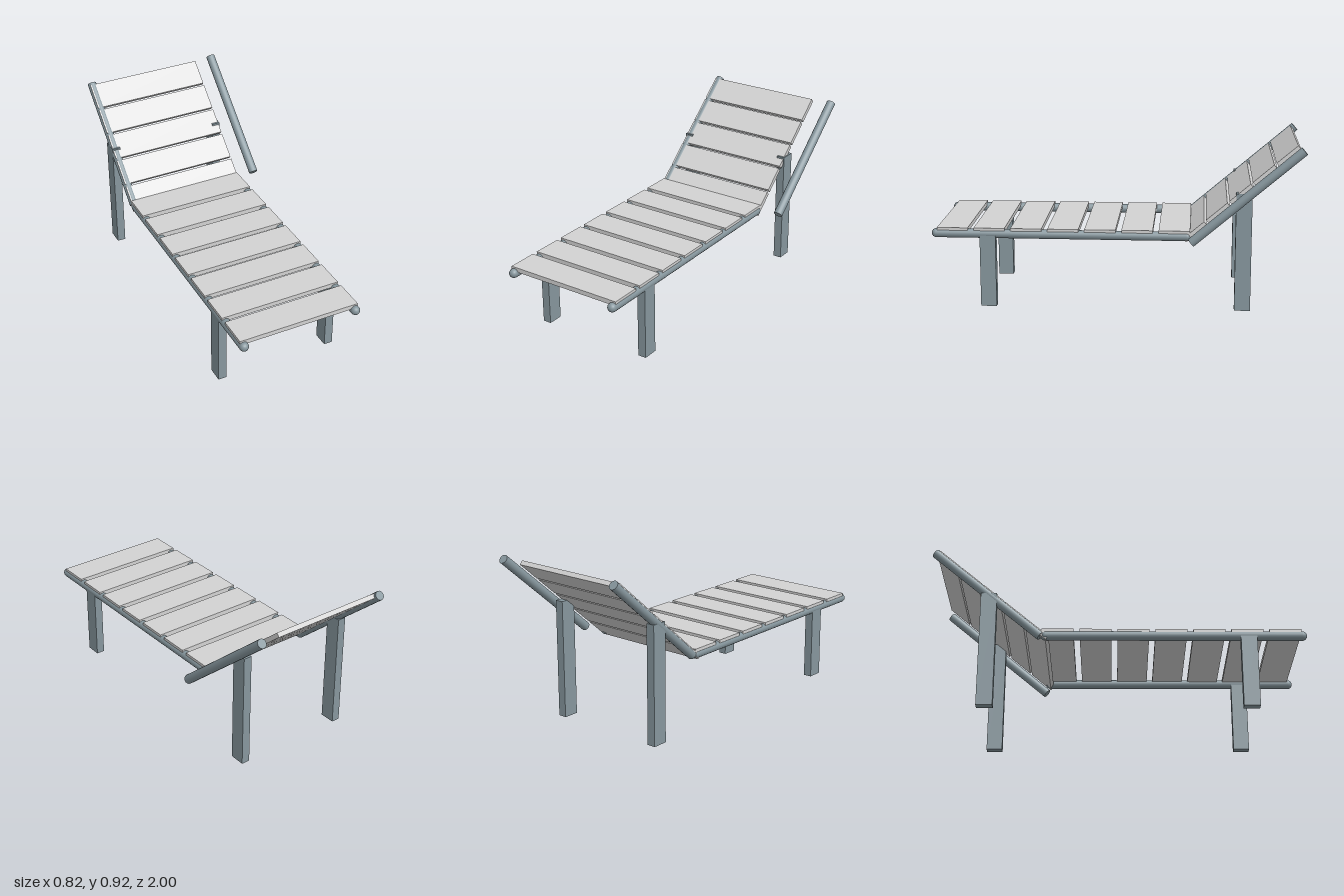
import * as THREE from 'three';

export function createModel() {
  const model = new THREE.Group();
  model.name = 'sunLounger';
  const frame = new THREE.MeshStandardMaterial({ color: 0x87979e });
  frame.name = 'blueGreyFrame';
  const slat = new THREE.MeshStandardMaterial({ color: 0xd3d3d3 });
  slat.name = 'lightGreySlats';

  const add = (parent, name, geometry, material, x, y, z) => {
    const mesh = new THREE.Mesh(geometry, material);
    mesh.name = name;
    mesh.position.set(x, y, z);
    parent.add(mesh);
    return mesh;
  };

  const R = 0.025;
  const rightX = -0.384, leftX = 0.252;
  const slatX = -0.067, slatWidth = 0.672, slatThick = 0.025;

  // Seat rails with rounded ends, and the four legs
  for (const [side, x] of [['right', rightX], ['left', leftX]]) {
    const rail = new THREE.CapsuleGeometry(R, 1.355, 6, 16).rotateX(Math.PI / 2);
    add(model, side + 'SeatRail', rail, frame, x, 0.403, 0.2975);
    add(model, side + 'FrontLeg', new THREE.BoxGeometry(0.047, 0.4, 0.086), frame, x, 0.2, 0.693);
    add(model, side + 'BackLeg', new THREE.BoxGeometry(0.047, 0.645, 0.086), frame, x, 0.3225, -0.684);
  }

  // Seat slats
  for (let i = 0; i < 7; i++) {
    add(model, 'seatSlat', new THREE.BoxGeometry(slatWidth, slatThick, 0.168), slat,
      slatX, 0.4235, 0.885 - i * 0.2);
  }

  // Reclined back: local -z runs up the slope, local y is its surface normal
  const back = new THREE.Group();
  back.name = 'backrest';
  back.position.set(0, 0.403, -0.405);
  back.rotation.x = Math.atan2(0.497, 0.579);
  model.add(back);

  // Back rails; the left one stands clear of the slats
  const length = 0.763;
  for (const [side, x] of [['right', rightX], ['left', 0.382]]) {
    const rail = new THREE.CylinderGeometry(R, R, length, 16).rotateX(Math.PI / 2);
    add(back, side + 'BackRail', rail, frame, x, 0, -length / 2);
  }

  // Back slats, set into the rail
  for (let i = 0; i < 5; i++) {
    add(back, 'backSlat', new THREE.BoxGeometry(slatWidth, slatThick, 0.146), slat,
      slatX, 0.0095, -0.675 + i * 0.16);
  }
  return model;
}
